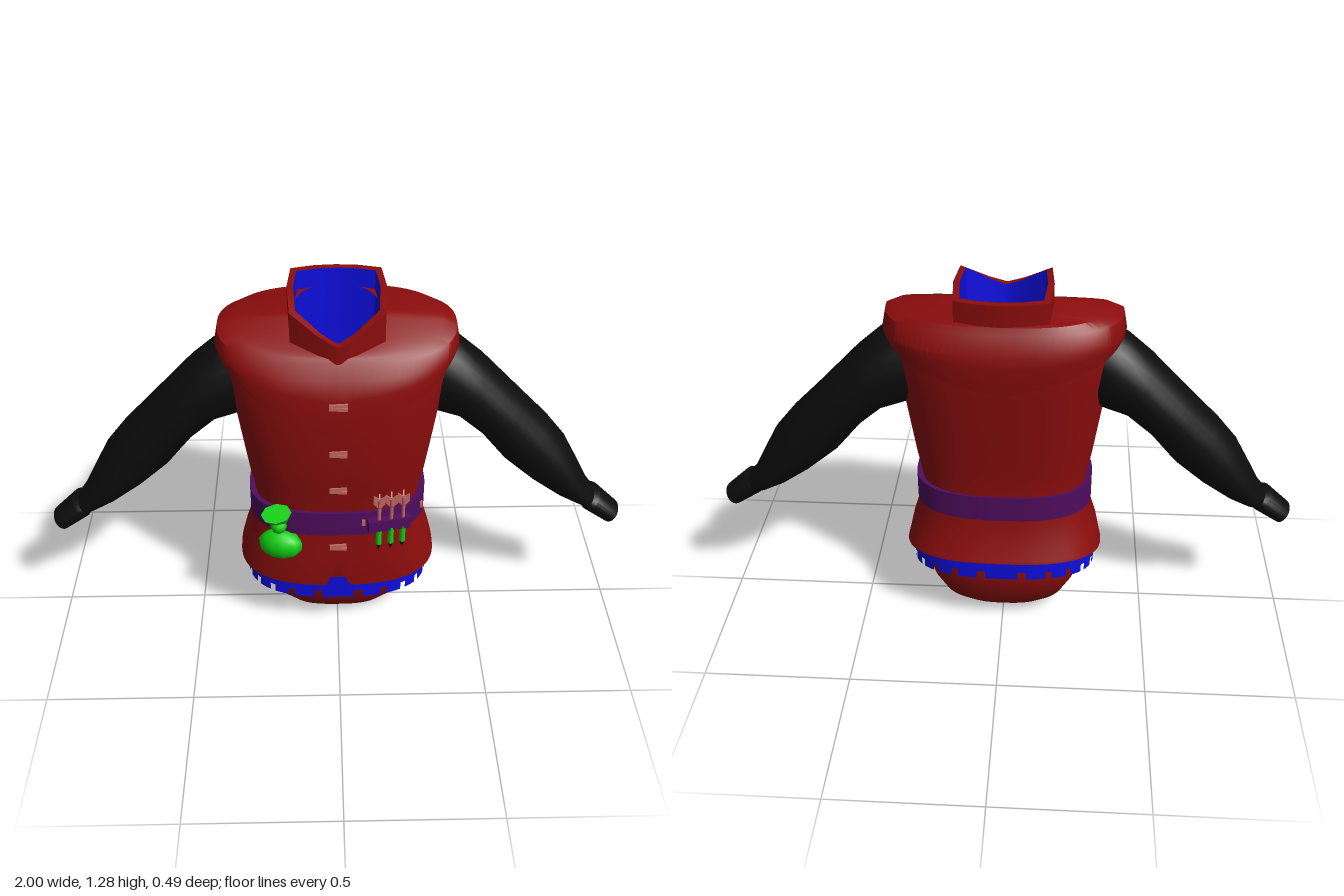
import * as THREE from 'three';
import { toCreasedNormals } from 'three/addons/utils/BufferGeometryUtils.js';

const SEG = 96;

// Surface through rows of points; rows run "up", points run counterclockwise
function grid(rows, closed = true) {
  const n = rows[0].length, pos = [], idx = [];
  rows.forEach(row => row.forEach(p => pos.push(...p)));
  for (let r = 0; r < rows.length - 1; r++) {
    for (let i = 0; i < (closed ? n : n - 1); i++) {
      const j = (i + 1) % n, a = r * n + i, b = r * n + j;
      idx.push(a, b, b + n, a, b + n, a + n);
    }
  }
  const g = new THREE.BufferGeometry();
  g.setAttribute('position', new THREE.Float32BufferAttribute(pos, 3));
  g.setIndex(idx);
  return toCreasedNormals(g, 0.6);
}

// Point on a squarish oval with separate front and back depths
function oval(t, w, f, b, y, tilt = 0) {
  const pw = v => Math.sign(v) * Math.abs(v) ** (2 / 2.6);
  const z = pw(Math.cos(t)) * (Math.cos(t) > 0 ? f : b);
  return [w * pw(Math.sin(t)), y - tilt * z, z];
}
const angles = Array.from({ length: SEG }, (_, i) => i / SEG * Math.PI * 2);
const ring = (y, w, f, b, tilt) => angles.map(t => oval(t, w, f, b, y, tilt));

// Tunic profile: y, half width, front, back
const PROFILE = [
  [0.36, 0.325, 0.195, 0.215], [0.47, 0.29, 0.185, 0.19], [0.57, 0.283, 0.188, 0.183],
  [0.66, 0.3, 0.2, 0.19], [0.75, 0.313, 0.208, 0.2], [0.95, 0.342, 0.212, 0.22],
  [1.05, 0.355, 0.203, 0.23], [1.14, 0.375, 0.172, 0.232]];
function profileAt(y) {
  let i = 0;
  while (i < PROFILE.length - 2 && y > PROFILE[i + 1][0]) i++;
  const a = PROFILE[i], b = PROFILE[i + 1];
  const k = (y - a[0]) / (b[0] - a[0]);
  return a.slice(1).map((v, n) => v + (b[n + 1] - v) * k);
}

export function createModel() {
  const model = new THREE.Group();
  const mat = (name, color) => new THREE.MeshStandardMaterial({ name, color, side: THREE.DoubleSide });
  const red = mat('darkRed', 0x8c0d0d), blue = mat('blue', 0x0e0ee0), black = mat('black', 0x0c0c0c);
  const purple = mat('purple', 0x500d5e), green = mat('green', 0x10d010), pink = mat('pink', 0xc46a64);
  const add = (name, geo, material, x = 0, y = 0, z = 0, parent = model) => {
    const m = new THREE.Mesh(geo, material);
    m.name = name;
    m.position.set(x, y, z);
    parent.add(m);
    return m;
  };

  // Rounded undergarment
  add('lowerBody', grid([
    ring(0.008, 0, 0, 0), ring(0.012, 0.1, 0.05, 0.07), ring(0.025, 0.165, 0.075, 0.1),
    ring(0.08, 0.222, 0.11, 0.155), ring(0.15, 0.258, 0.135, 0.19),
    ring(0.22, 0.28, 0.145, 0.205), ring(0.32, 0.285, 0.15, 0.2)]), red);

  // Tunic with turned hem and a slit at the centre front
  const slit = row => { row[0][1] = 0.335; return row; };
  add('tunic', grid([
    ring(0.345, 0.305, 0.175, 0.2), slit(ring(0.27, 0.325, 0.178, 0.218, 0.19)),
    slit(ring(0.272, 0.345, 0.195, 0.235, 0.19)), slit(ring(0.285, 0.342, 0.196, 0.232, 0.18)),
    ...PROFILE.slice(0, -1).map(p => ring(...p)), ring(1.1, 0.36, 0.18, 0.228)]), red);

  // Blue trim with square tabs below the hem
  const trim = (t, y) => oval(t, 0.322, 0.178, 0.216, y, 0.19);
  add('trimBand', grid([angles.map(t => trim(t, 0.225)), angles.map(t => trim(t, 0.29))]), blue);
  const tabs = 22, step = Math.PI * 2 / tabs;
  for (let k = 0; k < tabs; k++) {
    const cols = [-0.36, -0.12, 0.12, 0.36].map(o => (k + o) * step);
    add('trimTab', grid([cols.map(t => trim(t, 0.195)), cols.map(t => trim(t, 0.226))], false), blue);
  }

  // Shoulder mantle: pointed front, shallow dip at the back
  const edge = t => {
    const s = Math.min(1, Math.abs(oval(t, 1, 1, 1, 0)[0]));
    const low = Math.cos(t) > 0 ? 0.88 : 0.98;
    return low + (1.11 - low) * (0.75 * s + 0.25 * s ** 6);
  };
  const drape = (k, off) => angles.map(t => {
    const y0 = edge(t), y1 = 1.13 - 0.04 * Math.max(0, Math.cos(t)), y = y0 + (y1 - y0) * k;
    const [w, f, b] = profileAt(y);
    return oval(t, w + off, f + off, b + off, y);
  });
  const drop = (row, k) => row.map(([x, y, z]) => [x, y - k * Math.max(0, z), z]);
  add('mantle', grid([
    drape(0, -0.01), drape(0, 0.012), drape(0.33, 0.014), drape(0.67, 0.015), drape(1, 0.016),
    drop(ring(1.185, 0.378, 0.165, 0.215), 0.33), drop(ring(1.207, 0.33, 0.158, 0.205), 0.4),
    drop(ring(1.216, 0.14, 0.145, 0.185), 0.45)]), red);

  // Standing collar, open at the front, with lining: x, z, bottom, top
  const half = [
    [0.005, 0.167, 1.12, 1.19], [0.06, 0.147, 1.13, 1.215], [0.148, 0.1, 1.16, 1.272],
    [0.157, -0.05, 1.18, 1.285], [0.147, -0.18, 1.17, 1.28], [0.07, -0.2, 1.17, 1.28]];
  const loop = [...half, [0, -0.205, 1.17, 1.28], ...half.slice().reverse().map(([x, ...r]) => [-x, ...r])];
  const inset = (k, y) => loop.map(p => [p[0] * k, y ?? p[3], -0.02 + (p[1] + 0.02) * k]);
  add('collar', grid([loop.map(p => [p[0], p[2], p[1]]), inset(1), inset(0.87)]), red);
  add('collarLining', grid([inset(0.87), inset(0.85, 1.12), inset(0.8, 0.95), inset(0, 0.93)]), blue);

  // Sleeves: upper x, y, lower x, y, z centre, z half depth
  const sleeve = [
    [0.33, 1.14, 0.29, 0.86, -0.025, 0.115], [0.40, 1.105, 0.34, 0.845, -0.026, 0.124],
    [0.48, 1.035, 0.40, 0.828, -0.027, 0.127], [0.625, 0.885, 0.48, 0.76, -0.026, 0.122],
    [0.715, 0.795, 0.57, 0.65, -0.022, 0.115], [0.785, 0.71, 0.67, 0.565, -0.017, 0.11],
    [0.84, 0.61, 0.765, 0.50, -0.012, 0.1], [0.88, 0.535, 0.835, 0.466, -0.007, 0.085],
    [0.905, 0.505, 0.86, 0.452, 0, 0.068], [0.925, 0.503, 0.868, 0.437, 0.003, 0.07],
    [1.0, 0.435, 0.95, 0.38, 0.008, 0.057], [0.975, 0.408, 0.975, 0.408, 0.008, 0]];
  for (const side of [1, -1]) {
    const rows = sleeve.map(([ux, uy, lx, ly, zc, zh]) => Array.from({ length: 24 }, (_, i) => {
      const s = side * i / 24 * Math.PI * 2, c = Math.cos(s);
      return [side * ((ux + lx) / 2 + (ux - lx) / 2 * c), (uy + ly) / 2 + (uy - ly) / 2 * c, zc + zh * Math.sin(s)];
    }));
    add(side > 0 ? 'leftSleeve' : 'rightSleeve', grid(rows), black);
  }

  // Belt with small studs
  add('belt', grid([
    ring(0.475, 0.28, 0.18, 0.18), ring(0.472, 0.303, 0.202, 0.193),
    ring(0.566, 0.303, 0.202, 0.193), ring(0.563, 0.28, 0.18, 0.18)]), purple);
  add('beltStud', new THREE.BoxGeometry(0.012, 0.025, 0.008), pink, 0.085, 0.525, 0.2);
  add('beltStud', new THREE.BoxGeometry(0.008, 0.02, 0.015), pink, 0.287, 0.522, 0.1);

  // Front fasteners: two short bars each
  for (const [y, z] of [[1.01, 0.226], [0.82, 0.211], [0.665, 0.202], [0.41, 0.193]]) {
    for (const s of [-1, 1]) {
      add('fastener', new THREE.BoxGeometry(0.058, 0.011, 0.008), pink, 0, y + s * 0.006, z).rotation.z = s * 0.06;
    }
  }

  // Pouch: full bag below the belt, gathered cloth above it
  const bag = add('pouchBag', new THREE.SphereGeometry(1, 10, 7), green, -0.197, 0.425, 0.186);
  bag.scale.set(0.078, 0.056, 0.047);
  bag.rotation.y = -0.25;
  const top = add('pouchTop', new THREE.CylinderGeometry(0.052, 0.03, 0.05, 8), green, -0.203, 0.552, 0.2);
  top.scale.z = 0.75;
  top.rotation.set(0.35, 0, 0.15);
  add('pouchKnot', new THREE.SphereGeometry(0.028, 8, 6), green, -0.2, 0.525, 0.21);

  // Three darts held by a loop on the belt
  add('dartLoop', new THREE.BoxGeometry(0.145, 0.045, 0.03), purple, 0.17, 0.52, 0.195).rotation.y = 0.2;
  const vane = new THREE.Shape([[0, 0], [0.02, 0.022], [0.02, 0.055], [0, 0.042], [-0.02, 0.055], [-0.02, 0.022]]
    .map(p => new THREE.Vector2(...p)));
  const vaneGeo = new THREE.ExtrudeGeometry(vane, { depth: 0.005, bevelEnabled: false }).translate(0, 0, -0.0025);
  [[0.137, 0.202], [0.178, 0.196], [0.218, 0.187]].forEach(([x, z]) => {
    const dart = new THREE.Group();
    dart.name = 'dart';
    dart.position.set(x, 0, z);
    add('dartShaft', new THREE.CylinderGeometry(0.006, 0.006, 0.13, 8), pink, 0, 0.56, 0.004, dart);
    for (const a of [0, Math.PI / 2]) add('dartVane', vaneGeo, pink, 0, 0.584, 0, dart).rotation.y = a;
    add('dartBody', new THREE.CylinderGeometry(0.01, 0.01, 0.07, 8), green, 0, 0.472, 0.004, dart);
    add('dartTip', new THREE.ConeGeometry(0.01, 0.03, 8), black, 0, 0.423, 0.004, dart).rotation.x = Math.PI;
    model.add(dart);
  });

  return model;
}
